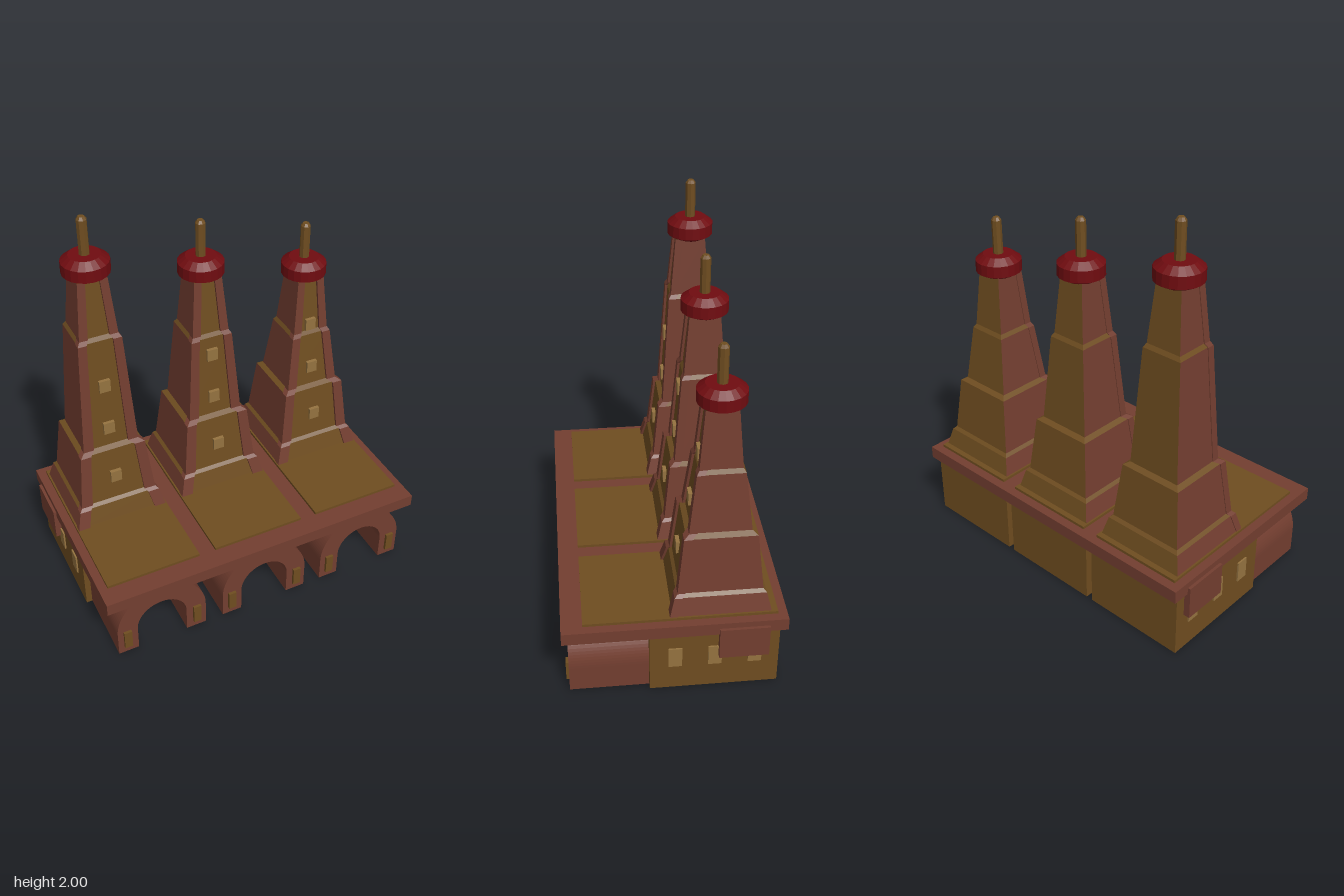
import * as THREE from 'three';

const mat = (name, color) => {
  const m = new THREE.MeshStandardMaterial({ color });
  m.name = name;
  return m;
};

// Faceted skin through rectangular rings { y, x0, x1, z0, z1 };
// pick(segment, side) gives the material index, sides being +x, -z, -x, +z
function loft(rings, pick) {
  const pos = [];
  const geo = new THREE.BufferGeometry();
  const corners = r => [
    [r.x1, r.y, r.z1], [r.x1, r.y, r.z0], [r.x0, r.y, r.z0], [r.x0, r.y, r.z1]
  ];
  for (let i = 0; i < rings.length - 1; i++) {
    const lo = corners(rings[i]), hi = corners(rings[i + 1]);
    for (let k = 0; k < 4; k++) {
      const n = (k + 1) % 4;
      geo.addGroup(pos.length / 3, 6, pick(i, k));
      pos.push(...lo[k], ...lo[n], ...hi[n], ...lo[k], ...hi[n], ...hi[k]);
    }
  }
  geo.setAttribute('position', new THREE.Float32BufferAttribute(pos, 3));
  geo.computeVertexNormals();
  return geo;
}

export function createModel() {
  const brown = mat('brown stone', 0x6f4d20);
  const red = mat('red brick', 0x733e30);
  const crimson = mat('crimson cap', 0x700c10);
  const tan = mat('tan window', 0x957340);
  const model = new THREE.Group();

  const add = (parent, name, geo, material, x = 0, y = 0, z = 0) => {
    const m = new THREE.Mesh(geo, material);
    m.name = name;
    m.position.set(x, y, z);
    parent.add(m);
    return m;
  };
  const box = (parent, name, material, x0, x1, y0, y1, z0, z1) =>
    add(parent, name, new THREE.BoxGeometry(x1 - x0, y1 - y0, z1 - z0), material,
      (x0 + x1) / 2, (y0 + y1) / 2, (z0 + z1) / 2);

  // Vaulted porch cross-section: round outer arch around a round opening
  const arch = new THREE.Shape();
  arch.moveTo(0.235, 0);
  arch.lineTo(0.235, 0.135);
  arch.absarc(0, 0.135, 0.235, 0, Math.PI, false);
  arch.lineTo(-0.235, 0);
  arch.lineTo(-0.13, 0);
  arch.lineTo(-0.13, 0.135);
  arch.absarc(0, 0.135, 0.13, Math.PI, 0, true);
  arch.lineTo(0.13, 0);
  const archGeo = new THREE.ExtrudeGeometry(arch, { depth: 0.38, bevelEnabled: false, curveSegments: 24 });

  const capGeo = new THREE.LatheGeometry([
    [0, 0], [0.05, 0], [0.113, 0.035], [0.113, 0.093], [0.075, 0.122], [0, 0.122]
  ].map(p => new THREE.Vector2(...p)), 20).toNonIndexed();
  capGeo.computeVertexNormals();
  const mastGeo = new THREE.LatheGeometry([
    [0, 0], [0.025, 0], [0.025, 0.205], [0.015, 0.22], [0, 0.22]
  ].map(p => new THREE.Vector2(...p)), 8).toNonIndexed();
  mastGeo.computeVertexNormals();

  const CZ = -0.22; // tower axis

  function buildUnit(x, drop) {
    const unit = new THREE.Group();
    unit.name = 'towerUnit';
    unit.position.x = x;
    model.add(unit);

    // Ground floor, porch and roof
    box(unit, 'hall', brown, -0.265, 0.265, 0, 0.34, -0.49, 0.12);
    add(unit, 'archedPorch', archGeo, red, 0, 0, 0.118);
    box(unit, 'roofSlab', red, -0.283, 0.283, 0.335, 0.4, -0.525, 0.525);
    box(unit, 'roofDeck', brown, -0.24, 0.24, 0.4, 0.414, -0.48, 0.425);
    for (const s of [-1, 1]) {
      add(unit, 'porchPanel', new THREE.BoxGeometry(0.04, 0.105, 0.018), brown, s * 0.185, 0.092, 0.503);
      add(unit, 'sideBay', new THREE.BoxGeometry(0.035, 0.17, 0.235), red, s * 0.28, 0.285, -0.32);
      for (const z of [0, -0.187, -0.375])
        add(unit, 'sideWindow', new THREE.BoxGeometry(0.016, 0.11, 0.064), tan, s * 0.265, 0.195, z);
    }

    // Stepped tower: [height, half width], every second span is a ledge
    const step = 1.41 - drop, top = 1.72 - drop;
    const profile = [
      [0.41, 0.232], [0.505, 0.208], [0.52, 0.193], [0.805, 0.163],
      [0.82, 0.138], [step, 0.104], [step + 0.02, 0.092], [top, 0.068]
    ];
    const rings = profile.map(([y, h]) => ({ y, x0: -h, x1: h, z0: CZ - h, z1: CZ + h }));
    add(unit, 'tower', loft(rings, (i, side) => (i % 2 === 0 && side % 2 === 0 ? 1 : 0)), [brown, red]);

    // Raised brick strips on the front corners
    for (const s of [-1, 1]) {
      const strip = profile.map(([y, h]) => {
        const width = THREE.MathUtils.lerp(0.055, 0.034, (y - 0.41) / (top - 0.41));
        const a = s * (h + 0.004), b = s * (h - width);
        return { y, x0: Math.min(a, b), x1: Math.max(a, b), z0: CZ + h - 0.025, z1: CZ + h + 0.012 };
      });
      add(unit, 'cornerStrip', loft(strip, () => 0), [red]);
    }

    // Front windows sit on the sloping wall
    for (const y of [0.652, 0.925, 1.167]) {
      const i = profile.findIndex(p => p[0] > y);
      const [y0, h0] = profile[i - 1], [y1, h1] = profile[i];
      const h = THREE.MathUtils.lerp(h0, h1, (y - y0) / (y1 - y0));
      add(unit, 'towerWindow', new THREE.BoxGeometry(0.056, 0.064, 0.03), tan, 0, y, CZ + h);
    }

    add(unit, 'cap', capGeo, crimson, 0, 1.693 - drop, CZ);
    add(unit, 'mast', mastGeo, brown, 0, 1.78 - drop, CZ);
  }

  [-0.565, 0, 0.565].forEach((x, i) => buildUnit(x, i * 0.15));
  return model;
}
